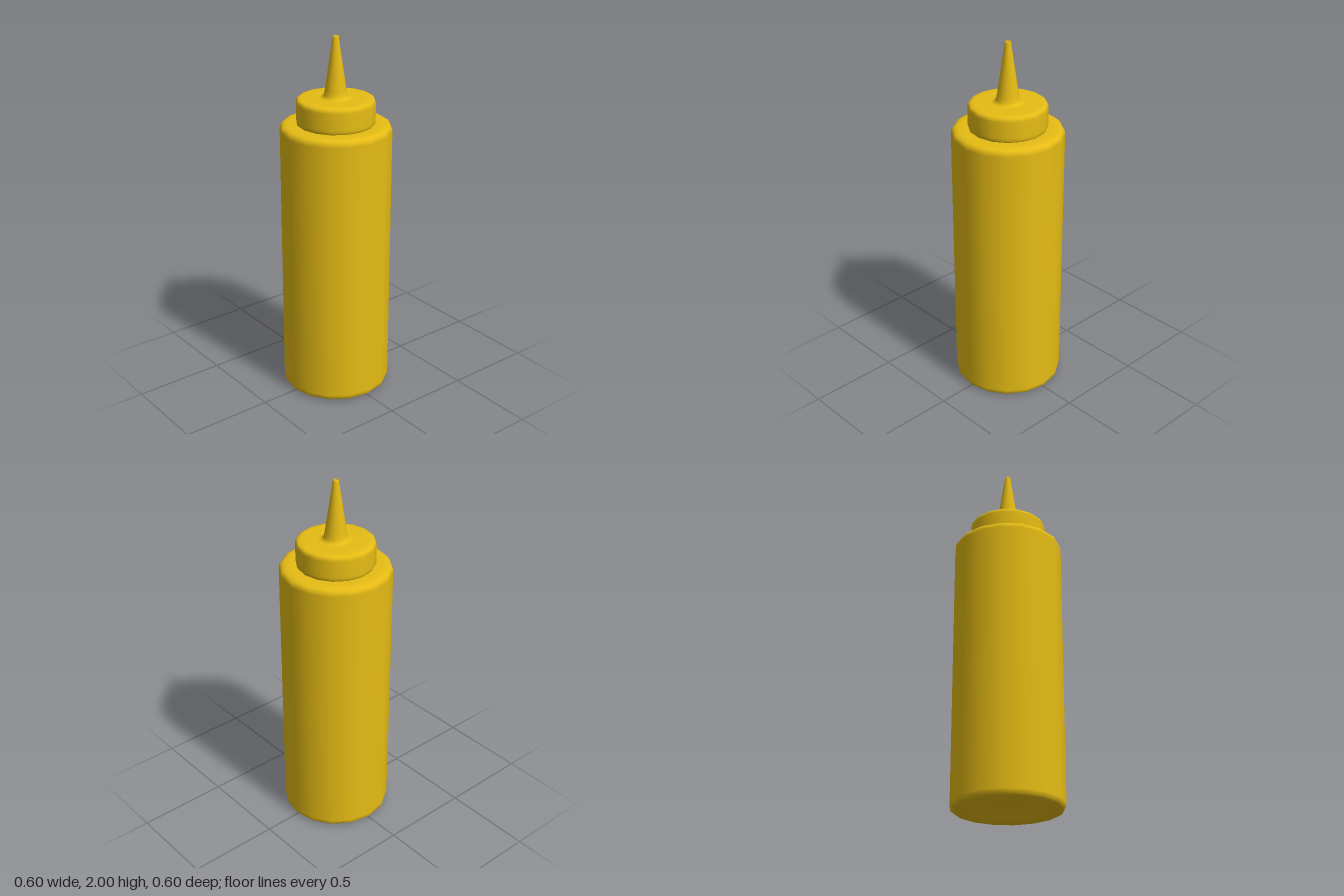
import * as THREE from 'three';

const material = new THREE.MeshStandardMaterial({ color: 0xe6bc14 });

// Turned part with 16 sides; profile runs from the underside up to the top.
function turned(name, profile) {
  const points = profile.map(([r, y]) => new THREE.Vector2(r, y));
  const mesh = new THREE.Mesh(new THREE.LatheGeometry(points, 16), material);
  mesh.name = name;
  return mesh;
}

export function createModel() {
  const group = new THREE.Group();
  group.name = 'squeezeBottle';

  // Body: hollowed base, rounded lower edge, straight wall, rounded shoulder
  group.add(turned('body', [
    [0, 0.06], [0.1, 0.055], [0.15, 0.04], [0.2, 0.008], [0.225, 0],
    [0.27, 0], [0.286, 0.004], [0.296, 0.014], [0.3, 0.035],
    [0.3, 1.495], [0.297, 1.513], [0.287, 1.526], [0.268, 1.532],
    [0.24, 1.533], [0.15, 1.533],
  ]));

  // Screw cap with a rounded top edge
  group.add(turned('cap', [
    [0.15, 1.53], [0.204, 1.53], [0.21, 1.54], [0.211, 1.555],
    [0.211, 1.645], [0.208, 1.66], [0.2, 1.668], [0.185, 1.671],
    [0.16, 1.672], [0.04, 1.672],
  ]));

  // Tapered nozzle: flared foot, straight cone, open tip
  group.add(turned('nozzle', [
    [0.1, 1.671], [0.08, 1.673], [0.069, 1.678], [0.062, 1.69], [0.057, 1.715],
    [0.017, 1.985], [0.0165, 1.995], [0.014, 2],
    [0.009, 2], [0.008, 1.997], [0.008, 1.96], [0, 1.96],
  ]));

  return group;
}
